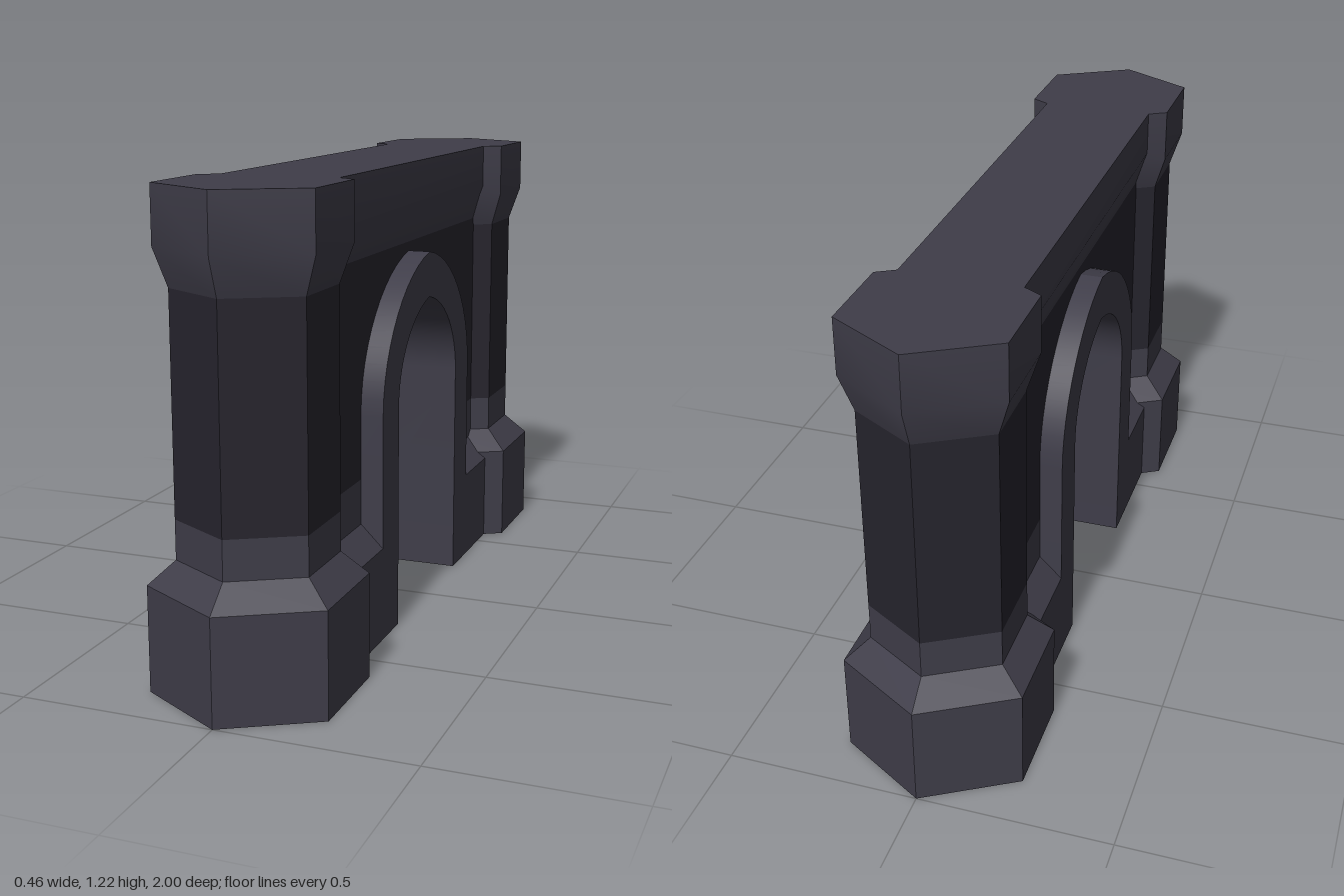
import * as THREE from 'three';
import { toCreasedNormals } from 'three/addons/utils/BufferGeometryUtils.js';

const stone = new THREE.MeshStandardMaterial({ color: 0x3f3d49 });
const darkStone = new THREE.MeshStandardMaterial({ color: 0x26242d });

function addMesh(parent, name, geometry, material) {
  const mesh = new THREE.Mesh(toCreasedNormals(geometry, 0.4), material);
  mesh.name = name;
  parent.add(mesh);
  return mesh;
}

// Extrudes a shape drawn in (z, y) across the wall thickness, centred on x = 0
function extrudeAcross(shape, halfWidth) {
  const geo = new THREE.ExtrudeGeometry(shape, { depth: halfWidth * 2, bevelEnabled: false, curveSegments: 12 });
  return geo.translate(0, 0, -halfWidth).rotateY(-Math.PI / 2);
}

// Extrudes a symmetric (half width, y) profile along z
function extrudeAlong(half, z0, z1) {
  const right = half.map(([x, y]) => new THREE.Vector2(x, y));
  const left = half.map(([x, y]) => new THREE.Vector2(-x, y)).reverse();
  const shape = new THREE.Shape([...right, ...left]);
  return new THREE.ExtrudeGeometry(shape, { depth: z1 - z0, bevelEnabled: false }).translate(0, 0, z0);
}

// Slightly pointed arch line, from the right springing over the apex to the left
function archOver(path, w, spring, c1, c2z, c2y, apex) {
  path.bezierCurveTo(w, c1, c2z, c2y, 0, apex);
  path.bezierCurveTo(-c2z, c2y, -w, c1, -w, spring);
}

function hexLathe(profile) {
  return new THREE.LatheGeometry(profile.map(([r, y]) => new THREE.Vector2(r, y)), 6);
}

export function createModel() {
  const model = new THREE.Group();
  model.name = 'archedGateWall';

  // Hexagonal pillars and stepped wall footings at both ends
  for (const side of [1, -1]) {
    const pillar = new THREE.Group();
    pillar.name = side > 0 ? 'frontPillar' : 'backPillar';
    pillar.position.z = side * 0.733;
    addMesh(pillar, 'pillarBase', hexLathe([[0, 0], [0.267, 0], [0.267, 0.27], [0.197, 0.33], [0.197, 0.43]]), stone);
    addMesh(pillar, 'pillarShaft', hexLathe([[0.197, 0.43], [0.197, 0.98]]), darkStone);
    addMesh(pillar, 'pillarCap', hexLathe([[0.197, 0.98], [0.232, 1.075], [0.232, 1.22], [0, 1.22]]), stone);
    model.add(pillar);

    const [z0, z1] = side > 0 ? [0.36, 0.7] : [-0.7, -0.36];
    addMesh(model, side > 0 ? 'frontFooting' : 'backFooting',
      extrudeAlong([[0.18, 0], [0.18, 0.25], [0.12, 0.31], [0.12, 0.43]], z0, z1), stone);
  }

  // Dark wall panel, notched behind the arch surround
  const panel = new THREE.Shape();
  panel.moveTo(0.7, 0.43);
  panel.lineTo(0.7, 1.0);
  panel.lineTo(-0.7, 1.0);
  panel.lineTo(-0.7, 0.43);
  panel.lineTo(-0.305, 0.43);
  panel.lineTo(-0.305, 0.6);
  panel.bezierCurveTo(-0.305, 0.74, -0.175, 0.88, 0, 0.912);
  panel.bezierCurveTo(0.175, 0.88, 0.305, 0.74, 0.305, 0.6);
  panel.lineTo(0.305, 0.43);
  panel.closePath();
  addMesh(model, 'wallPanel', extrudeAcross(panel, 0.12), darkStone);

  // Flared coping along the top
  addMesh(model, 'coping', extrudeAlong([[0.12, 1.0], [0.153, 1.1], [0.153, 1.22]], -0.7, 0.7), stone);

  // Raised arch surround reaching the ground
  const arch = new THREE.Shape();
  arch.moveTo(0.365, 0);
  arch.lineTo(0.365, 0.6);
  archOver(arch, 0.365, 0.6, 0.78, 0.2, 0.945, 0.975);
  arch.lineTo(-0.365, 0);
  arch.lineTo(-0.245, 0);
  arch.lineTo(-0.245, 0.6);
  arch.bezierCurveTo(-0.245, 0.71, -0.15, 0.825, 0, 0.852);
  arch.bezierCurveTo(0.15, 0.825, 0.245, 0.71, 0.245, 0.6);
  arch.lineTo(0.245, 0);
  arch.closePath();
  addMesh(model, 'archSurround', extrudeAcross(arch, 0.18), stone);

  return model;
}
